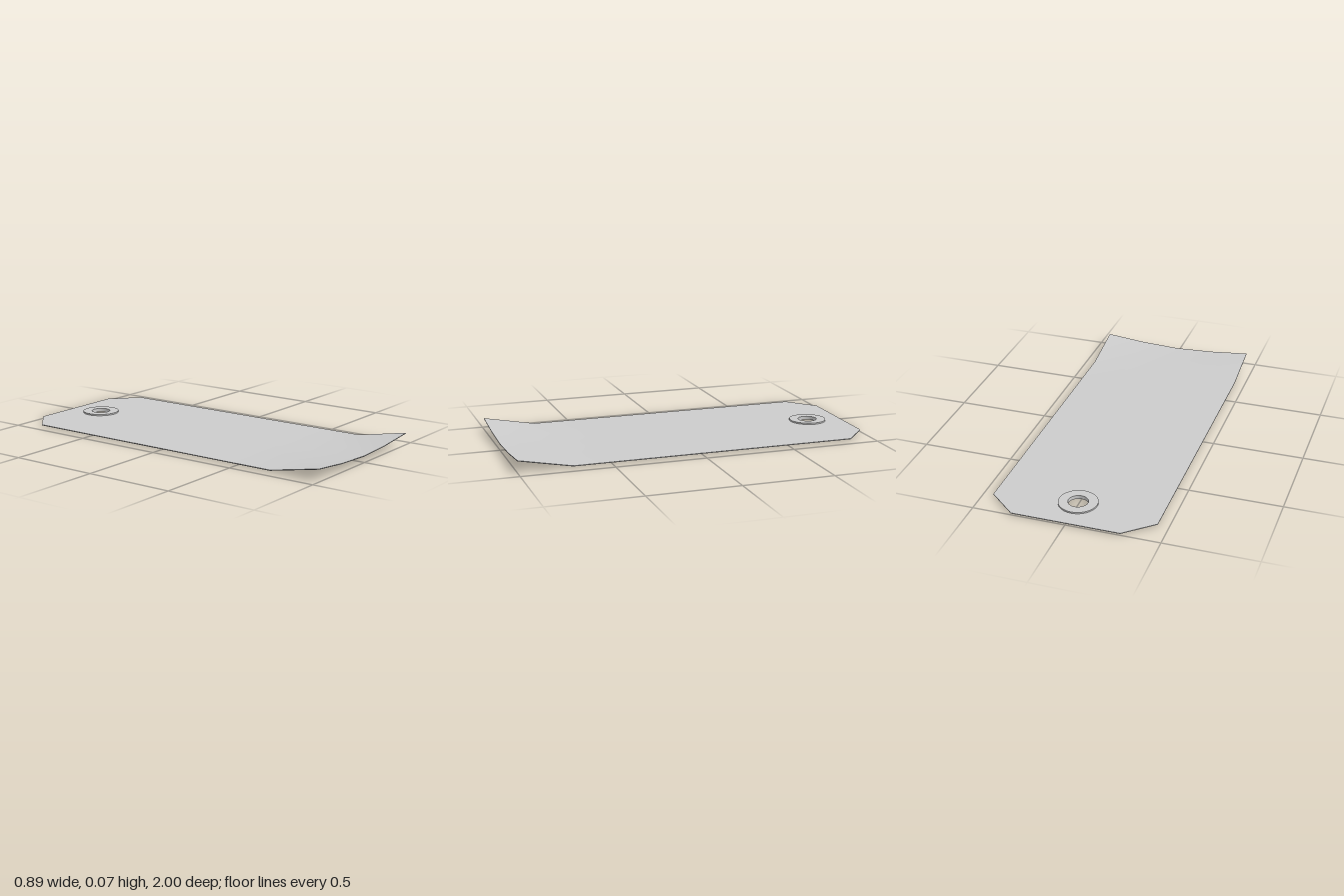
import * as THREE from 'three';
import { toCreasedNormals } from 'three/addons/utils/BufferGeometryUtils.js';

const HALF = 0.443;              // half width of the tag
const BASE = 0.008, THICK = 0.004;
const SPLIT = 0.42, FOLD = 0.71; // where the front strip begins, where it lifts
const HOLE_Z = -0.805;

export function createModel() {
  const group = new THREE.Group();
  group.name = 'tag';
  const material = new THREE.MeshStandardMaterial({ color: 0xcccccc });
  const add = (name, geometry) => {
    const mesh = new THREE.Mesh(toCreasedNormals(geometry, 0.5), material);
    mesh.name = name;
    group.add(mesh);
  };

  // Flat body with clipped back corners and a hole (shape y becomes -z)
  const outline = new THREE.Shape([
    [-HALF, -SPLIT], [HALF, -SPLIT], [HALF, 0.865], [0.29, 1], [-0.29, 1], [-HALF, 0.865],
  ].map(([x, y]) => new THREE.Vector2(x, y)));
  outline.holes.push(new THREE.Path().absarc(0, -HOLE_Z, 0.06, 0, Math.PI * 2, true));
  const flat = new THREE.ExtrudeGeometry(outline, { depth: THICK, bevelEnabled: false, curveSegments: 32 });
  flat.rotateX(-Math.PI / 2).translate(0, BASE, 0);
  add('flatSheet', flat);

  // Front strip, lifted past the fold and more so toward its corners
  const strip = new THREE.BoxGeometry(2 * HALF, THICK, 1 - SPLIT, 4, 1, 2);
  strip.setIndex([...strip.index.array].slice(0, strip.groups[5].start)); // no wall at the joint
  strip.clearGroups();
  strip.translate(0, BASE + THICK / 2, (1 + SPLIT) / 2);
  const pos = strip.attributes.position;
  for (let i = 0; i < pos.count; i++) {
    const lift = Math.max(0, (pos.getZ(i) - FOLD) / (1 - FOLD));
    const curl = 0.0245 + 0.031 * Math.pow(Math.abs(pos.getX(i)) / HALF, 1.65);
    pos.setY(i, pos.getY(i) + lift * curl);
  }
  add('curledEnd', strip);

  // Reinforcing ring around the hole
  const profile = [[0.053, 0], [0.104, 0], [0.104, 0.02], [0.053, 0.02], [0.053, 0]];
  const ring = new THREE.LatheGeometry(profile.map(([x, y]) => new THREE.Vector2(x, y)), 40);
  ring.translate(0, 0, HOLE_Z);
  add('eyelet', ring);

  return group;
}
